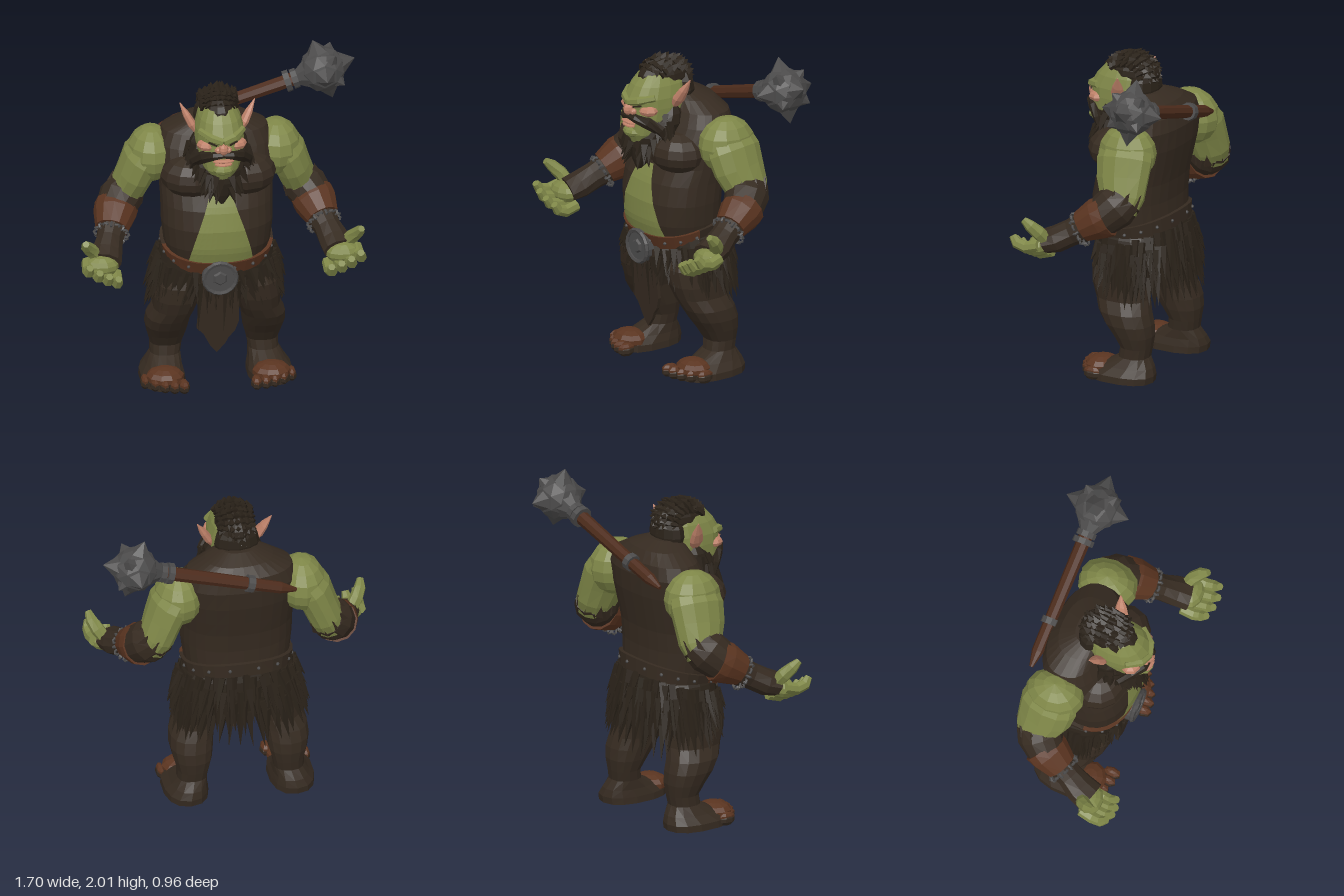
import * as THREE from 'three';
import { mergeGeometries } from 'three/addons/utils/BufferGeometryUtils.js';

const V = (x, y, z) => new THREE.Vector3(x, y, z);
const mat = (name, color, side = THREE.FrontSide) => {
  const m = new THREE.MeshStandardMaterial({ color, flatShading: true, side });
  m.name = name;
  return m;
};

// Deterministic noise for the fur
function seeded(seed) {
  return () => { seed = (seed * 16807) % 2147483647; return seed / 2147483647; };
}

// Skin between rings of points, capped at both ends
function skin(rings) {
  const n = rings[0].length, pos = [];
  const tri = (...p) => p.forEach(v => pos.push(v.x, v.y, v.z));
  for (let i = 0; i < rings.length - 1; i++) for (let j = 0; j < n; j++) {
    const k = (j + 1) % n, A = rings[i], B = rings[i + 1];
    tri(A[j], A[k], B[k]);
    tri(A[j], B[k], B[j]);
  }
  [rings[0], rings[rings.length - 1]].forEach((r, end) => {
    const c = r.reduce((s, p) => s.add(p), V(0, 0, 0)).divideScalar(n);
    for (let j = 0; j < n; j++) {
      const k = (j + 1) % n;
      end ? tri(c, r[j], r[k]) : tri(c, r[k], r[j]);
    }
  });
  const g = new THREE.BufferGeometry();
  g.setAttribute('position', new THREE.Float32BufferAttribute(pos, 3));
  g.computeVertexNormals();
  return g;
}

// Point on a body whose rows are [y, centreX, halfWidth, frontZ, backZ]
function onBody(rows, y, a, out = 0) {
  let i = 0;
  while (i < rows.length - 2 && y > rows[i + 1][0]) i++;
  const A = rows[i], B = rows[i + 1], f = THREE.MathUtils.clamp((y - A[0]) / (B[0] - A[0]), 0, 1);
  const [cx, rx, zf, zb] = [1, 2, 3, 4].map(k => A[k] + (B[k] - A[k]) * f);
  const sq = t => Math.sign(t) * Math.abs(t) ** 0.84;
  return V(cx + (rx + out) * sq(Math.sin(a)), y, (zf + zb) / 2 + ((zf - zb) / 2 + out) * sq(Math.cos(a)));
}
const body = (rows, n = 20) => skin(rows.map(r =>
  Array.from({ length: n }, (_, j) => onBody(rows, r[0], j / n * Math.PI * 2))));

// Limb along rows of [x, y, z, radiusU, radiusV]
function limb(rows, n = 10, ref = V(0, 0, 1)) {
  const c = rows.map(r => V(r[0], r[1], r[2]));
  return skin(rows.map((r, i) => {
    const t = c[Math.min(i + 1, c.length - 1)].clone().sub(c[Math.max(i - 1, 0)]).normalize();
    const u = t.clone().cross(ref).normalize(), v = t.clone().cross(u);
    return Array.from({ length: n }, (_, j) => {
      const a = j / n * Math.PI * 2;
      return c[i].clone().addScaledVector(u, Math.cos(a) * r[3]).addScaledVector(v, Math.sin(a) * (r[4] ?? r[3]));
    });
  }));
}

const plain = g => {
  const o = g.index ? g.toNonIndexed() : g;
  o.deleteAttribute('uv');
  return o;
};
const merge = list => mergeGeometries(list.map(plain));
const blob = (x, y, z, rx, ry, rz, w = 10, h = 7) =>
  plain(new THREE.SphereGeometry(1, w, h).scale(rx, ry, rz).translate(x, y, z));
const along = (g, from, to) => plain(g
  .applyQuaternion(new THREE.Quaternion().setFromUnitVectors(V(0, 1, 0), to.clone().sub(from).normalize()))
  .translate(...from.clone().add(to).multiplyScalar(0.5).toArray()));
const rod = (a, b, ra, rb, n = 8) => along(new THREE.CylinderGeometry(rb, ra, a.distanceTo(b), n), a, b);
const spike = (a, b, r, n = 4) => along(new THREE.ConeGeometry(r, a.distanceTo(b), n), a, b);

// Mirror across x, keeping the corner order outward
function mirrored(g) {
  const m = plain(g.clone()).scale(-1, 1, 1), p = m.attributes.position;
  for (let i = 0; i < p.count; i += 3) {
    const a = V().fromBufferAttribute(p, i), b = V().fromBufferAttribute(p, i + 2);
    p.setXYZ(i, b.x, b.y, b.z);
    p.setXYZ(i + 2, a.x, a.y, a.z);
  }
  m.computeVertexNormals();
  return m;
}

export function createModel() {
  const root = new THREE.Group();
  const green = mat('green skin', 0x7f8748), dark = mat('dark leather', 0x352a20), brown = mat('brown leather', 0x5a3420);
  const hair = mat('black brown hair', 0x2a2219), iron = mat('iron', 0x4b4a4a), pink = mat('pink skin', 0xbd8068);
  const skinSheet = mat('green belly skin', 0x7f8748, THREE.DoubleSide), wood = mat('wood', 0x4c2b1b);
  const add = (name, g, m) => {
    const mesh = new THREE.Mesh(g, m);
    mesh.name = name;
    root.add(mesh);
  };
  const pair = (name, g, m) => { add(name + 'Left', g, m); add(name + 'Right', mirrored(g), m); };
  const rnd = seeded(77), jit = s => (rnd() - 0.5) * s;

  // Torso with vest, chest and bare belly
  const torso = [[0.7, 0, 0.25, 0.19, -0.18], [0.82, 0, 0.29, 0.25, -0.2], [0.93, 0, 0.315, 0.285, -0.2],
    [1.06, 0, 0.33, 0.29, -0.195], [1.18, 0, 0.33, 0.265, -0.205], [1.28, 0, 0.335, 0.22, -0.225], [1.4, 0, 0.345, 0.2, -0.25],
    [1.52, 0, 0.345, 0.14, -0.26], [1.6, 0, 0.31, 0.1, -0.24], [1.66, 0, 0.2, 0.08, -0.19], [1.7, 0, 0.1, 0.06, -0.1]];
  add('vest', body(torso, 28), dark);
  pair('chest', blob(0.155, 1.365, 0.115, 0.188, 0.13, 0.165, 12, 8), dark);
  const belly = new THREE.PlaneGeometry(1, 1, 10, 12), bp = belly.attributes.position;
  for (let i = 0; i < bp.count; i++) {
    const y = 0.84 + (bp.getY(i) + 0.5) * 0.44, w = 0.21 - (y - 0.84) * 0.34;
    const s = 2 * bp.getX(i) * w / 0.33;
    bp.setXYZ(i, ...onBody(torso, y, Math.asin(Math.sign(s) * Math.abs(s) ** (1 / 0.84)), 0.008).toArray());
  }
  belly.computeVertexNormals();
  add('belly', belly, skinSheet);

  // Belt, higher at the back, with studs and a round buckle
  const beltY = a => 0.875 - 0.065 * Math.cos(a), N = 28, studs = [];
  const beltPart = (a0, a1) => skin(Array.from({ length: N / 2 + 1 }, (_, i) => {
    const a = a0 + (a1 - a0) * i / (N / 2), y = beltY(a);
    return [[-0.045, -0.03], [0.04, -0.03], [0.04, 0.022], [-0.045, 0.022]].map(([h, o]) => onBody(torso, y + h, a, o));
  }));
  add('beltFront', beltPart(-1.45, 1.45), brown);
  add('beltBack', beltPart(1.45, Math.PI * 2 - 1.45), dark);
  for (let i = 0; i < 16; i++) {
    const a = (i + 0.5) / 16 * Math.PI * 2, p = onBody(torso, beltY(a), a, 0.022);
    studs.push(blob(p.x, p.y, p.z, 0.011, 0.011, 0.011, 6, 4));
  }
  add('beltStuds', merge(studs), iron);
  add('buckle', merge([rod(V(-0.01, 0.76, 0.23), V(-0.01, 0.76, 0.29), 0.105, 0.1, 16),
    new THREE.TorusGeometry(0.095, 0.014, 5, 16).translate(-0.01, 0.76, 0.29),
    rod(V(-0.01, 0.76, 0.29), V(-0.01, 0.76, 0.302), 0.045, 0.035, 6)]), iron);

  // Fur skirt: a core with overlapping rows of tufts, longer towards the back
  const skirt = [[0.6, 0, 0.365, 0.2, -0.23], [0.74, 0, 0.365, 0.235, -0.24], [0.85, 0, 0.33, 0.24, -0.225], [0.92, 0, 0.28, 0.22, -0.2]];
  const tufts = [];
  for (let row = 0; row < 4; row++) for (let i = 0; i < 48; i++) {
    const a = (i + row * 0.5 + jit(0.6)) / 48 * Math.PI * 2, back = (1 - Math.cos(a)) / 2;
    const y = beltY(a) - 0.05 - row * (0.03 + 0.055 * back) + jit(0.03);
    const base = onBody(skirt, y, a, -0.005), tip = onBody(skirt, y - 0.06, a, 0.045);
    tip.y -= 0.05 + 0.09 * back + jit(0.06);
    tip.x += jit(0.04);
    tufts.push(spike(base, tip, 0.03));
  }
  add('skirtCore', body(skirt, 24), hair);
  add('skirtFur', merge(tufts), hair);

  // Hanging loincloth with ragged strips
  const cloth = new THREE.Shape([[-0.12, 0.76], [0.1, 0.76], [0.11, 0.45], [0.085, 0.38], [0.05, 0.34], [0.03, 0.3],
    [-0.02, 0.24], [-0.06, 0.29], [-0.1, 0.37], [-0.14, 0.41], [-0.125, 0.6]].map(p => new THREE.Vector2(...p)));
  const clothGeo = new THREE.ExtrudeGeometry(cloth, { depth: 0.02, bevelEnabled: false });
  const cp = clothGeo.attributes.position;
  for (let i = 0; i < cp.count; i++) cp.setZ(i, cp.getZ(i) + 0.185 + (cp.getY(i) - 0.24) * 0.1);
  clothGeo.computeVertexNormals();
  add('loincloth', clothGeo, dark);
  add('loinclothStrips', merge([-0.12, -0.08, -0.03, 0.03, 0.07, 0.1].map((x, i) =>
    spike(V(x, 0.72, 0.245), V(x + jit(0.03), 0.38 + (i % 3) * 0.05, 0.22), 0.022))), hair);

  // Legs, feet and toes
  pair('leg', body([[0, 0.317, 0.135, 0.21, -0.22], [0.04, 0.317, 0.132, 0.21, -0.225], [0.085, 0.305, 0.108, 0.12, -0.21],
    [0.14, 0.29, 0.09, 0.01, -0.175], [0.2, 0.285, 0.095, 0, -0.185], [0.27, 0.285, 0.115, 0.045, -0.195], [0.34, 0.287, 0.128, 0.1, -0.19],
    [0.41, 0.28, 0.13, 0.145, -0.17], [0.48, 0.25, 0.125, 0.18, -0.145], [0.56, 0.235, 0.14, 0.21, -0.14], [0.66, 0.21, 0.155, 0.225, -0.16],
    [0.8, 0.16, 0.15, 0.19, -0.17]], 14), dark);
  pair('instep', blob(0.315, 0.06, 0.12, 0.115, 0.06, 0.1), brown);
  const toes = (y, r) => merge([0, 1, 2, 3, 4].map(i =>
    blob(0.215 + i * 0.055, y, 0.22 - i * i * 0.006, r - i * 0.002, r, 0.055, 7, 5)));
  pair('toes', toes(0.047, 0.031), brown);
  pair('toePads', toes(0.031, 0.036), dark);

  // Arms: bare shoulder and upper arm, sleeve, bracer, chain and glove
  pair('shoulder', blob(0.37, 1.43, -0.08, 0.145, 0.17, 0.18, 12, 8), green);
  pair('upperArm', limb([[0.36, 1.5, -0.08, 0.1, 0.15], [0.425, 1.4, -0.09, 0.12, 0.175], [0.465, 1.3, -0.1, 0.11, 0.165],
    [0.505, 1.2, -0.12, 0.105, 0.14], [0.54, 1.13, -0.11, 0.1, 0.12]], 12), green);
  pair('sleeve', limb([[0.505, 1.2, -0.13, 0.105, 0.128], [0.545, 1.15, -0.1, 0.13, 0.133], [0.59, 1.09, -0.03, 0.118, 0.122],
    [0.62, 1.03, 0.07, 0.095, 0.095]], 12), dark);
  pair('sleeveFringe', merge(Array.from({ length: 9 }, (_, i) => {
    const a = i / 9 * Math.PI * 2, x = Math.cos(a), z = Math.sin(a);
    return spike(V(0.535 + x * 0.085, 1.15 + x * 0.04, -0.11 + z * 0.1), V(0.5 + x * 0.1, 1.235 + x * 0.04, -0.125 + z * 0.135), 0.035);
  })), dark);
  pair('bracer', limb([[0.578, 1.1, -0.06, 0.13, 0.128], [0.595, 1.075, -0.01, 0.128, 0.126], [0.625, 1.02, 0.08, 0.098, 0.096]], 12), brown);
  const links = Array.from({ length: 16 }, (_, i) => {
    const a = i / 16 * Math.PI * 2;
    return new THREE.TorusGeometry(0.015, 0.008, 4, 6).rotateX(i % 2 ? 0 : Math.PI / 2)
      .rotateZ(a).translate(0.089 * Math.cos(a), 0.089 * Math.sin(a), 0);
  });
  pair('chain', merge(links).applyQuaternion(new THREE.Quaternion().setFromUnitVectors(V(0, 0, 1), V(0.25, -0.48, 0.84).normalize()))
    .translate(0.628, 1.0, 0.095), iron);
  pair('glove', limb([[0.62, 1.02, 0.07, 0.09], [0.645, 0.98, 0.14, 0.08], [0.675, 0.935, 0.22, 0.095, 0.08],
    [0.695, 0.91, 0.3, 0.1, 0.07]], 10, V(0, 1, 0)), dark);

  // Open hand: palm, curled fingers and raised thumb
  pair('palm', blob(0.715, 0.895, 0.31, 0.105, 0.065, 0.07), green);
  pair('fingers', merge([0, 1, 2, 3].map(i => {
    const x = 0.625 + i * 0.057, y = 0.83 + i * 0.029, l = [0, 0.02, 0.025, 0.01][i];
    return limb([[x, y, 0.28, 0.034], [x + 0.005, y - 0.022, 0.36, 0.037], [x + 0.01, y - 0.005, 0.41 + l, 0.034],
      [x + 0.005, y + 0.035, 0.44 + l, 0.022]], 7, V(1, 0, 0));
  })), green);
  pair('thumb', limb([[0.73, 0.93, 0.26, 0.04], [0.775, 0.99, 0.29, 0.042], [0.805, 1.035, 0.33, 0.036],
    [0.815, 1.07, 0.37, 0.02]], 7, V(1, 0, 0)), green);

  // Head
  add('head', body([[1.42, 0, 0.08, 0.33, 0.06], [1.48, 0, 0.115, 0.36, 0.03], [1.57, 0, 0.138, 0.355, 0],
    [1.64, 0, 0.145, 0.345, -0.02], [1.7, 0, 0.142, 0.355, -0.03], [1.77, 0, 0.124, 0.315, -0.02],
    [1.83, 0, 0.095, 0.26, 0.02], [1.86, 0, 0.05, 0.19, 0.05]], 16), green);
  pair('brow', limb([[0, 1.678, 0.362, 0.022, 0.022], [0.065, 1.695, 0.338, 0.026, 0.026], [0.128, 1.715, 0.262, 0.02]], 6), green);
  pair('cheek', blob(0.085, 1.632, 0.278, 0.064, 0.036, 0.062, 8, 6), pink);
  pair('eye', new THREE.BoxGeometry(0.055, 0.009, 0.008).rotateY(0.5).rotateZ(0.25).translate(0.062, 1.662, 0.345), hair);
  add('nose', merge([blob(0, 1.632, 0.358, 0.03, 0.036, 0.038, 8, 6), blob(0.03, 1.622, 0.347, 0.022, 0.02, 0.025, 6, 5),
    blob(-0.03, 1.622, 0.347, 0.022, 0.02, 0.025, 6, 5)]), pink);
  add('lips', merge([blob(0, 1.555, 0.36, 0.065, 0.011, 0.026, 10, 5), blob(0, 1.535, 0.36, 0.055, 0.011, 0.028, 10, 5)]), pink);
  add('chin', blob(0, 1.492, 0.335, 0.066, 0.034, 0.05, 8, 6), green);
  pair('ear', limb([[0.125, 1.64, 0.12, 0.016, 0.03], [0.155, 1.69, 0.11, 0.026, 0.046], [0.185, 1.745, 0.095, 0.022, 0.034],
    [0.222, 1.815, 0.075, 0.003, 0.004]], 8), pink);

  // Beard and moustache with pointed tufts
  const beard = [[1.25, 0, 0.012, 0.3, 0.27], [1.31, 0, 0.06, 0.32, 0.2], [1.39, 0, 0.1, 0.335, 0.12],
    [1.46, 0, 0.15, 0.325, 0.05], [1.54, 0, 0.18, 0.27, 0.04], [1.6, 0, 0.17, 0.22, 0.05], [1.65, 0, 0.14, 0.18, 0.07]];
  add('beard', body(beard, 14), hair);
  const locks = [];
  for (let i = 0; i < 60; i++) {
    const y = 1.35 + rnd() * 0.25, a = jit(3.6);
    if (y > 1.45 && Math.abs(a) < 0.75) continue;
    const tip = onBody(beard, y, a, 0.04);
    tip.y -= 0.07 + rnd() * 0.03;
    locks.push(spike(onBody(beard, y, a, -0.01), tip, 0.03));
  }
  add('beardLocks', merge(locks), hair);
  pair('moustache', limb([[0, 1.59, 0.36, 0.016, 0.016], [0.05, 1.587, 0.352, 0.026, 0.026], [0.105, 1.56, 0.3, 0.042, 0.03],
    [0.155, 1.515, 0.24, 0.038, 0.03], [0.18, 1.45, 0.22, 0.004, 0.004]], 7), hair);

  // Hair: crest over the top and down the back of the head
  const tuft = [];
  for (let i = 0; i < 11; i++) for (let j = 0; j < 7; j++) {
    const a = -0.95 + i * 0.3, x = (j - 3) / 3, w = Math.cos(x * 0.8);
    const base = V(x * 0.092, 1.785 + 0.105 * Math.cos(a) * w, 0.105 - 0.155 * Math.sin(a) * w);
    const lift = 0.033 * Math.max(Math.cos(a), -0.4);
    tuft.push(spike(base, V(base.x * 1.12 + jit(0.03), base.y + lift + jit(0.015), base.z - 0.035 - jit(0.02)), 0.03));
  }
  add('hairCap', merge([blob(0, 1.79, 0.105, 0.112, 0.107, 0.18, 14, 10), blob(0, 1.71, 0.01, 0.135, 0.14, 0.085, 12, 8)]), hair);
  add('hairTufts', merge(tuft), hair);

  // Spiked mace slung across the back
  const end = V(-0.3, 1.51, -0.265), top = V(0.67, 1.81, -0.28), dir = top.clone().sub(end).normalize();
  const at = d => end.clone().addScaledVector(dir, d);
  add('maceShaft', merge([rod(at(0), at(0.1), 0.012, 0.036), rod(at(0.1), at(0.86), 0.036, 0.043)]), wood);
  add('maceCollars', merge([rod(at(0.27), at(0.31), 0.053, 0.053, 10), rod(at(0.78), at(0.815), 0.065, 0.065, 10),
    rod(at(0.825), at(0.86), 0.06, 0.06, 10), rod(at(0.86), at(0.95), 0.05, 0.11, 8)]), iron);
  const side = dir.clone().cross(V(0, 0, 1)).normalize(), depth = dir.clone().cross(side);
  const spikes = [dir.clone()];
  for (let i = 0; i < 4; i++) {
    const a = i * Math.PI / 2, b = a + Math.PI / 4;
    spikes.push(side.clone().multiplyScalar(Math.cos(a)).addScaledVector(depth, Math.sin(a)));
    spikes.push(side.clone().multiplyScalar(Math.cos(b)).addScaledVector(depth, Math.sin(b))
      .addScaledVector(dir, 0.65).normalize().multiplyScalar(0.85));
  }
  add('maceHead', merge([new THREE.IcosahedronGeometry(0.138, 1).translate(...top.toArray()),
    ...spikes.map(s => spike(top.clone().addScaledVector(s, 0.08), top.clone().addScaledVector(s, 0.2), 0.092, 6))]), iron);

  return root;
}
